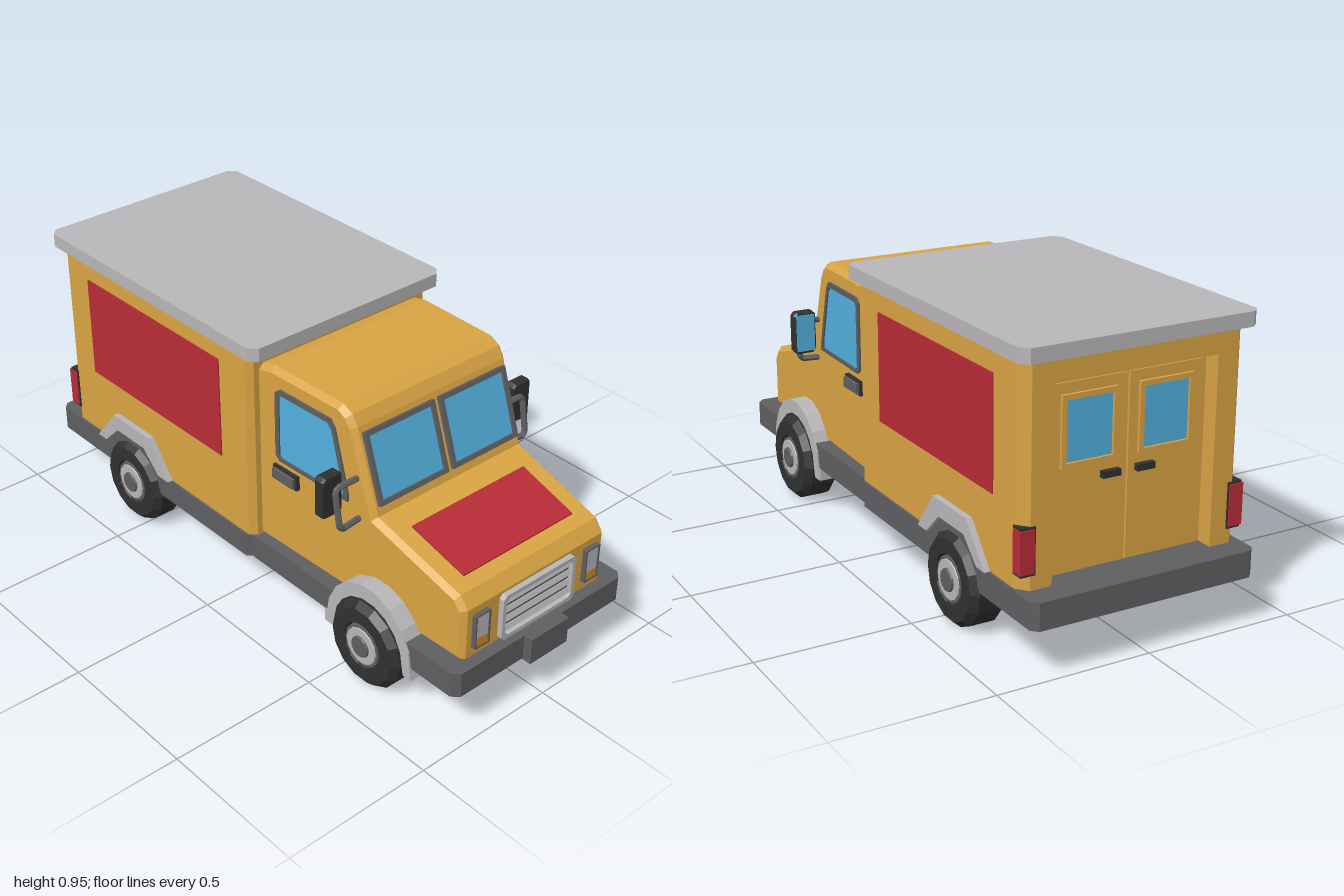
import * as THREE from 'three';

const mat = (name, color) => {
  const m = new THREE.MeshStandardMaterial({ color, flatShading: true });
  m.name = name;
  return m;
};

export function createModel() {
  const yellow = mat('yellow paint', 0xd9a443);
  const red = mat('red panel', 0xb82c37);
  const blue = mat('window glass', 0x52b0de);
  const light = mat('light grey', 0xb9b7b9);
  const grey = mat('dark grey trim', 0x5f5f62);
  const black = mat('black rubber', 0x303031);
  const amber = mat('amber lamp', 0xd28c1e);

  const root = new THREE.Group();
  root.name = 'deliveryVan';
  const body = new THREE.Group();
  body.name = 'body';
  body.position.x = 0.01;
  root.add(body);

  const add = (parent, name, geo, material) => {
    const m = new THREE.Mesh(geo, material);
    m.name = name;
    parent.add(m);
    return m;
  };
  const group = (parent, name, x, y, z) => {
    const g = new THREE.Group();
    g.name = name;
    g.position.set(x, y, z);
    parent.add(g);
    return g;
  };
  const box = (x0, x1, y0, y1, z0, z1) =>
    new THREE.BoxGeometry(x1 - x0, y1 - y0, z1 - z0).translate((x0 + x1) / 2, (y0 + y1) / 2, (z0 + z1) / 2);
  const shape = (pts, hole) => {
    const s = new THREE.Shape(pts.map(p => new THREE.Vector2(...p)));
    if (hole) s.holes.push(new THREE.Path(hole.map(p => new THREE.Vector2(...p))));
    return s;
  };
  // Outline in (z, y), extruded from x0 to x1
  const sideExtrude = (pts, x0, x1, hole, bevel = 0) =>
    new THREE.ExtrudeGeometry(shape(pts, hole), {
      depth: x1 - x0 - 2 * bevel, bevelEnabled: bevel > 0, bevelThickness: bevel,
      bevelSize: bevel, bevelOffset: -bevel, bevelSegments: 1,
    }).rotateY(-Math.PI / 2).translate(x1 - bevel, 0, 0);
  // Outline in (x, z), extruded from y0 to y1
  const planExtrude = (pts, y0, y1) =>
    new THREE.ExtrudeGeometry(shape(pts), { depth: y1 - y0, bevelEnabled: false })
      .rotateX(Math.PI / 2).translate(0, y1, 0);
  // Plan rectangle with cut corners
  const cutRect = (w, z0, z1, c) => [[-w + c, z0], [w - c, z0], [w, z0 + c], [w, z1 - c],
    [w - c, z1], [-w + c, z1], [-w, z1 - c], [-w, z0 + c]];
  const rect = (w, h, c = 0.001) => cutRect(w / 2, -h / 2, h / 2, c);
  const frame = (w, h, b, d, c) => new THREE.ExtrudeGeometry(
    shape(rect(w, h, c), rect(w - 2 * b, h - 2 * b, c)), { depth: d, bevelEnabled: false });
  // Mirrored x range on side s
  const span = (s, a, b) => (s > 0 ? [a, b] : [-b, -a]);

  // Narrow the cab gently towards the nose
  const taper = geo => {
    const p = geo.attributes.position;
    for (let i = 0; i < p.count; i++) p.setX(i, p.getX(i) * (1 - 0.085 * (p.getZ(i) - 0.07) / 0.86));
    geo.computeVertexNormals();
    return geo;
  };

  // Chassis and bumpers
  add(body, 'frontChassis', planExtrude(cutRect(0.362, 0.04, 0.97, 0.022), 0.16, 0.245), grey);
  add(body, 'rearChassis', planExtrude(cutRect(0.377, -1, 0.06, 0.02), 0.16, 0.245), grey);
  add(body, 'numberPlate', box(-0.08, 0.08, 0.155, 0.245, 0.96, 1), grey);
  add(body, 'frontCrossbar', box(-0.365, 0.365, 0.12, 0.162, 0.41, 0.43), light);

  // Cab
  add(body, 'cab', taper(sideExtrude([[0.05, 0.235], [0.93, 0.235], [0.93, 0.42], [0.9, 0.46], [0.567, 0.556],
    [0.477, 0.823], [0.455, 0.858], [0.417, 0.878], [0.12, 0.878], [0.05, 0.86]], -0.33, 0.33, null, 0.018)), yellow);
  add(body, 'hoodPanel', taper(sideExtrude([[0.645, 0.525], [0.855, 0.464], [0.855, 0.478], [0.645, 0.5385]],
    -0.25, 0.25)), red);

  // Cargo box: notched plan leaves the rear door recess
  const W = 0.37, R = 0.27;
  add(body, 'cargoBox', planExtrude([[-W + 0.02, 0.07], [W - 0.02, 0.07], [W, 0.05], [W, -0.885], [W - 0.03, -0.92],
    [R, -0.92], [R, -0.865], [-R, -0.865], [-R, -0.92], [-W + 0.03, -0.92], [-W, -0.885], [-W, 0.05]], 0.245, 0.91), yellow);
  add(body, 'rearHeader', box(-R, R, 0.83, 0.91, -0.92, -0.86), yellow);
  add(body, 'roof', planExtrude(cutRect(0.39, -0.952, 0.115, 0.025), 0.905, 0.95), light);

  // Windscreen panes
  for (const s of [-1, 1]) {
    const g = group(body, 'windscreenPane', s * 0.15, 0.695, 0.5196);
    g.rotation.x = -Math.atan(0.337);
    add(g, 'windscreenFrame', frame(0.28, 0.232, 0.015, 0.014), grey);
    add(g, 'windscreenGlass', new THREE.BoxGeometry(0.255, 0.207, 0.008), blue).position.z = 0.002;
  }

  // Grille
  const grille = group(body, 'grille', 0, 0.33, 0.928);
  add(grille, 'grilleSurround', frame(0.312, 0.162, 0.014, 0.02, 0.012), light);
  add(grille, 'grilleBack', new THREE.BoxGeometry(0.29, 0.14, 0.008), grey);
  for (let i = 0; i < 4; i++) {
    const slat = add(grille, 'grilleSlat', new THREE.BoxGeometry(0.284, 0.017, 0.012), light);
    slat.position.set(0, -0.05 + i * 0.034, 0.006);
    slat.rotation.x = -0.4;
  }

  // Front arch outline: half ellipse band
  const arc = (rz, ry) => Array.from({ length: 10 }, (_, i) => {
    const a = Math.PI * i / 9;
    return [0.605 + rz * Math.cos(a), 0.145 + ry * Math.sin(a)];
  });
  const archFront = [[0.795, 0.12], ...arc(0.185, 0.208), [0.413, 0.12], [0.45, 0.12], ...arc(0.15, 0.158).reverse(), [0.76, 0.12]];
  const archRear = [[-0.355, 0.245], [-0.45, 0.372], [-0.65, 0.372], [-0.755, 0.245],
    [-0.71, 0.245], [-0.635, 0.318], [-0.485, 0.318], [-0.41, 0.245]];

  // Tyre cross-section (radius, offset along axle)
  const tyre = [[0.05, -0.062], [0.125, -0.062], [0.148, -0.04], [0.148, 0.04], [0.128, 0.062], [0.08, 0.062],
    [0.074, 0.045], [0.001, 0.045]].map(p => new THREE.Vector2(...p));
  const wheel = (s, x, z, name) => {
    const g = group(body, name, s * x, 0.148, z);
    g.rotation.z = -s * Math.PI / 2;
    add(g, 'tyre', new THREE.LatheGeometry(tyre, 14), black);
    add(g, 'rimEdge', new THREE.CylinderGeometry(0.072, 0.076, 0.02, 14).translate(0, 0.05, 0), grey);
    add(g, 'rim', new THREE.CylinderGeometry(0.062, 0.066, 0.012, 14).translate(0, 0.058, 0), light);
    add(g, 'hub', new THREE.CylinderGeometry(0.034, 0.042, 0.022, 14).translate(0, 0.06, 0), grey);
  };

  for (const s of [-1, 1]) {
    // Wheels and arches
    wheel(s, 0.331, 0.605, 'frontWheel');
    wheel(s, 0.336, -0.56, 'rearWheel');
    add(body, 'frontArch', sideExtrude(archFront, ...span(s, 0.29, 0.368)), light);
    add(body, 'frontArchLining', sideExtrude([[0.45, 0.165], ...arc(0.155, 0.162).reverse(), [0.76, 0.165]],
      ...span(s, 0.3, 0.364)), black);
    add(body, 'rearArch', sideExtrude(archRear, ...span(s, 0.35, 0.39)), light);
    add(body, 'rearArchLining', sideExtrude([[-0.41, 0.17], [-0.41, 0.245], [-0.485, 0.32], [-0.635, 0.32],
      [-0.71, 0.245], [-0.71, 0.17]], ...span(s, 0.35, 0.379)), grey);

    // Side panel
    add(body, 'sidePanel', box(...span(s, 0.366, 0.374), 0.485, 0.835, -0.77, -0.075), red);

    // Side window and door handle
    const outer = [[0.462, 0.567], [0.46, 0.6], [0.405, 0.795], [0.385, 0.82], [0.166, 0.82], [0.147, 0.805], [0.147, 0.583], [0.165, 0.567]];
    const inner = [[0.446, 0.58], [0.444, 0.602], [0.392, 0.788], [0.377, 0.803], [0.176, 0.803], [0.164, 0.793], [0.164, 0.59], [0.174, 0.58]];
    add(body, 'sideWindowFrame', taper(sideExtrude(outer, ...span(s, 0.325, 0.338), inner)), grey);
    add(body, 'sideWindowGlass', taper(sideExtrude(inner, ...span(s, 0.326, 0.333))), blue);
    add(body, 'doorHandleBase', box(...span(s, 0.315, 0.338), 0.498, 0.546, 0.137, 0.247), black);
    add(body, 'doorHandle', box(...span(s, 0.315, 0.348), 0.505, 0.539, 0.144, 0.24), grey);

    // Headlamp with indicator
    const lamp = group(body, 'headlamp', s * 0.235, 0.337, 0.928);
    add(lamp, 'headlampFrame', frame(0.06, 0.12, 0.005, 0.018), grey);
    add(lamp, 'headlampLens', box(-0.025, 0.025, -0.028, 0.055, -0.004, 0.014), light);
    add(lamp, 'indicator', box(-0.025, 0.025, -0.055, -0.028, -0.004, 0.014), amber);

    // Tail lamp
    add(body, 'tailLampBase', box(...span(s, 0.325, 0.373), 0.29, 0.435, -0.923, -0.882), black);
    add(body, 'tailLamp', box(...span(s, 0.33, 0.377), 0.298, 0.428, -0.927, -0.888), red);

    // Rear door: frame, glass, handle
    const door = group(body, 'rearDoor', s * 0.128, 0, -0.865);
    door.rotation.y = Math.PI;
    add(door, 'doorPanel', box(-0.123, 0.123, 0.25, 0.81, -0.002, 0.008), yellow);
    const pane = group(door, 'rearWindow', 0, 0.67, 0.006);
    add(pane, 'rearWindowFrame', frame(0.185, 0.215, 0.016, 0.012), yellow);
    add(pane, 'rearWindowGlass', new THREE.BoxGeometry(0.155, 0.185, 0.008), blue);
    add(door, 'rearHandle', box(-0.03, 0.03, 0.515, 0.535, 0.006, 0.026).translate(s * 0.07, 0, 0), black);

    // Wing mirror on a bent bracket
    const mirror = group(root, 'wingMirror', 0, 0, 0);
    const head = new THREE.ExtrudeGeometry(shape(rect(0.08, 0.144, 0.012)),
      { depth: 0.022, bevelThickness: 0.008, bevelSize: 0.006, bevelOffset: -0.006, bevelSegments: 1 });
    add(mirror, 'mirrorHead', head.translate(s * 0.395, 0.638, 0.458), black);
    add(mirror, 'mirrorGlass', new THREE.BoxGeometry(0.064, 0.124, 0.004).translate(s * 0.395, 0.638, 0.449), blue);
    const b = 0.01 * s; // body offset at the bracket ends
    const path = new THREE.CurvePath();
    const pts = [[0.31, 0.665, 0.495], [0.38, 0.665, 0.495], [0.392, 0.653, 0.496], [0.392, 0.542, 0.515],
      [0.38, 0.53, 0.515], [0.31, 0.53, 0.505]].map(p => new THREE.Vector3(s * p[0], p[1], p[2]));
    pts[0].x += b * s;
    pts[5].x += b * s;
    for (let i = 0; i < 5; i++) path.add(new THREE.LineCurve3(pts[i], pts[i + 1]));
    add(mirror, 'mirrorBracket', new THREE.TubeGeometry(path, 40, 0.01, 6), grey);
  }

  return root;
}
